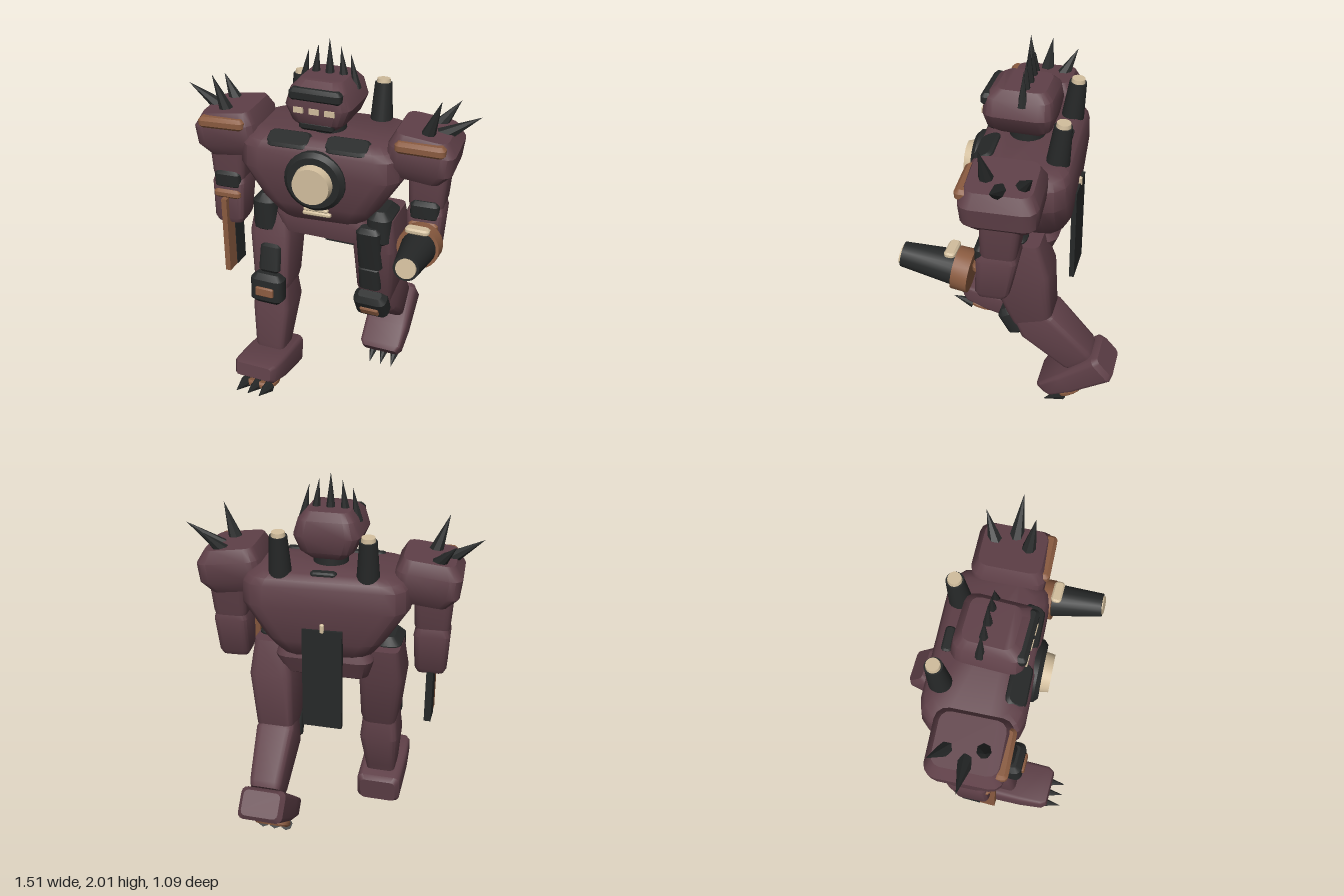
import * as THREE from 'three';
import { toCreasedNormals } from 'three/addons/utils/BufferGeometryUtils.js';

const paint = (name, hex) => {
  const m = new THREE.MeshStandardMaterial({ color: hex });
  m.name = name;
  return m;
};

// Lofted solid with rounded corners; each section is [y, cx, cz, halfX, halfZ]
function loft(sections, round = 0.38) {
  const steps = 3, n = 4 * (steps + 1);
  const rings = sections.map(([y, cx, cz, hx, hz]) => {
    const r = Math.min(hx, hz) * round, ring = [];
    for (let q = 0; q < 4; q++) {
      const sx = q === 0 || q === 3 ? 1 : -1, sz = q < 2 ? 1 : -1;
      for (let i = 0; i <= steps; i++) {
        const t = (q + i / steps) * Math.PI / 2;
        ring.push([cx + sx * (hx - r) + r * Math.cos(t), y, cz + sz * (hz - r) + r * Math.sin(t)]);
      }
    }
    return ring;
  });
  const pos = [];
  const tri = (a, b, c) => pos.push(...a, ...b, ...c);
  for (let s = 0; s < rings.length - 1; s++) {
    const a = rings[s], b = rings[s + 1];
    for (let i = 0; i < n; i++) {
      const j = (i + 1) % n;
      tri(a[i], b[i], b[j]);
      tri(a[i], b[j], a[j]);
    }
  }
  const lo = rings[0], hi = rings[rings.length - 1];
  for (let i = 1; i < n - 1; i++) {
    tri(lo[0], lo[i], lo[i + 1]);
    tri(hi[0], hi[i + 1], hi[i]);
  }
  const g = new THREE.BufferGeometry();
  g.setAttribute('position', new THREE.Float32BufferAttribute(pos, 3));
  return toCreasedNormals(g, 0.62);
}

// Box with all edges softened
function block(w, h, d) {
  const b = Math.min(w, h, d) * 0.28, x = w / 2, y = h / 2, z = d / 2;
  return loft([[-y, 0, 0, x - b, z - b], [-y + b, 0, 0, x, z], [y - b, 0, 0, x, z], [y, 0, 0, x - b, z - b]], 0.7);
}

function add(parent, name, geo, mat, p = [0, 0, 0], rx = 0, rz = 0) {
  const m = new THREE.Mesh(geo, mat);
  m.name = name;
  m.position.set(...p);
  m.rotation.set(rx, 0, rz);
  parent.add(m);
  return m;
}

// Round bar or cone from point a to point b
function rod(parent, name, mat, a, b, r1, r2, sides = 20) {
  const A = new THREE.Vector3(...a), B = new THREE.Vector3(...b), d = B.clone().sub(A);
  const geo = toCreasedNormals(new THREE.CylinderGeometry(r2, r1, d.length(), sides), 0.62);
  const m = add(parent, name, geo, mat);
  m.position.copy(A).lerp(B, 0.5);
  m.quaternion.setFromUnitVectors(new THREE.Vector3(0, 1, 0), d.normalize());
  return m;
}

function subgroup(parent, name, p = [0, 0, 0], rx = 0, ry = 0) {
  const g = new THREE.Group();
  g.name = name;
  g.position.set(...p);
  g.rotation.set(rx, ry, 0);
  parent.add(g);
  return g;
}

export function createModel() {
  const root = new THREE.Group();
  root.name = 'robot';
  const armour = paint('maroon armour', 0x5f4048);
  const dark = paint('black metal', 0x262828);
  const copper = paint('copper', 0x8a5b40);
  const cream = paint('cream', 0xd2be9d);

  // Head with brow, eye plates, mouth and crest
  const head = subgroup(root, 'head');
  add(head, 'skull', loft([[1.59, 0, 0.04, 0.09, 0.12], [1.63, 0, 0.04, 0.135, 0.16], [1.71, 0, 0.04, 0.17, 0.175],
    [1.79, 0, 0.04, 0.145, 0.165], [1.83, 0, 0.03, 0.11, 0.12]]), armour);
  add(head, 'brow', block(0.27, 0.065, 0.06), dark, [0, 1.772, 0.19]);
  add(head, 'mouth', block(0.18, 0.05, 0.05), dark, [0, 1.615, 0.175]);
  for (const x of [-0.08, 0, 0.08]) {
    add(head, 'eyePlate', new THREE.BoxGeometry(0.05, 0.028, 0.009), cream, [x, 1.7, 0.217]);
  }
  rod(head, 'neck', dark, [0, 1.5, 0.02], [0, 1.61, 0.02], 0.095, 0.085);
  for (const [x, y, tx, ty] of [[0, 1.81, 0, 2], [0.075, 1.8, 0.058, 1.965], [0.138, 1.765, 0.108, 1.935]]) {
    for (const s of x ? [-1, 1] : [1]) {
      rod(head, 'crestSpike', dark, [s * x, y, 0.01], [s * tx, ty, 0.01], 0.026, 0, 7);
    }
  }

  // Torso, turned slightly
  const body = subgroup(root, 'upperBody', [0, 0, 0], 0, 0.055);
  add(body, 'chest', loft([[1.08, 0, 0, 0.22, 0.16], [1.14, 0, 0, 0.265, 0.212], [1.2, 0, 0, 0.31, 0.238],
    [1.38, 0, 0.002, 0.425, 0.253], [1.49, 0, 0.002, 0.42, 0.25], [1.525, 0, 0, 0.395, 0.232],
    [1.55, 0, -0.005, 0.35, 0.19]], 0.5), armour);
  rod(body, 'chestRing', dark, [0.004, 1.357, 0.18], [0.004, 1.357, 0.265], 0.157, 0.157, 28);
  rod(body, 'chestRingBevel', dark, [0.004, 1.357, 0.265], [0.004, 1.357, 0.286], 0.157, 0.135, 28);
  rod(body, 'chestLamp', cream, [0.004, 1.357, 0.27], [0.004, 1.357, 0.33], 0.103, 0.094, 28);
  add(body, 'chestTrim', block(0.15, 0.024, 0.03), cream, [0.004, 1.162, 0.226]);
  add(body, 'chestTrim', block(0.13, 0.016, 0.03), cream, [0.004, 1.192, 0.24]);
  add(body, 'backVent', block(0.13, 0.03, 0.05), dark, [0, 1.547, -0.18]);
  for (const s of [-1, 1]) {
    add(body, 'collarPad', block(0.23, 0.045, 0.11), dark, [s * 0.15, 1.526, 0.19], 0.45);
    rod(body, 'exhaust', dark, [s * 0.218, 1.45, -0.16], [s * 0.218, 1.735, -0.192], 0.064, 0.044);
    rod(body, 'exhaustCap', cream, [s * 0.218, 1.72, -0.191], [s * 0.218, 1.755, -0.194], 0.038, 0.033);
  }

  // Arms and shoulders
  for (const s of [-1, 1]) {
    const arm = subgroup(body, s > 0 ? 'leftArm' : 'rightArm');
    const x = s * 0.53, dz = s > 0 ? 0 : -0.02;
    add(arm, 'shoulder', loft([[-0.125, 0, 0, 0.115, 0.145], [-0.06, 0, 0, 0.165, 0.182], [0.04, 0, 0, 0.165, 0.187],
      [0.102, -s * 0.01, 0, 0.128, 0.155]]), armour, [s * 0.5, 1.515, 0.03], 0, -s * 0.12);
    add(arm, 'shoulderStrip', block(0.245, 0.06, 0.07), copper, [s * 0.505, 1.572, 0.195], 0, -s * 0.02);
    const spikes = [[[0.57, 1.58, 0.03], [0.757, 1.7, 0.03]], [[0.51, 1.58, 0.1], [0.58, 1.79, 0.12]],
      [[0.53, 1.58, -0.06], [0.63, 1.71, -0.13]]];
    for (const [a, b] of spikes) {
      rod(arm, 'shoulderSpike', dark, [s * a[0], a[1], a[2]], [s * b[0], b[1], b[2]], 0.042, 0, 7);
    }
    add(arm, 'upperArm', loft([[1.17, x, 0.04, 0.07, 0.07], [1.25, x, 0.04 + dz / 2, 0.09, 0.09],
      [1.42, x, 0.025, 0.1, 0.1]]), armour);
    add(arm, 'forearm', loft([[0.97, x, 0.08 + dz, 0.07, 0.07], [1.0, x, 0.077 + dz, 0.083, 0.085],
      [1.2, x, 0.05 + dz, 0.092, 0.1], [1.24, x, 0.04 + dz, 0.08, 0.08]]), armour);
    add(arm, 'wristCuff', block(0.145, 0.105, 0.07), dark, [x, 1.218, 0.122 + dz]);
    add(arm, 'wristBand', block(0.15, 0.05, 0.06), copper, [x, 1.14, 0.138 + dz]);
  }

  // Right-hand blade
  const blade = subgroup(root, 'blade', [-0.53, 0.9, 0]);
  add(blade, 'bladeBack', new THREE.BoxGeometry(0.036, 0.44, 0.1), dark, [0, 0, 0.065]);
  add(blade, 'bladeEdge', new THREE.BoxGeometry(0.03, 0.44, 0.08), copper, [0, 0, 0.155]);

  // Left-hand cannon
  const cannon = subgroup(root, 'cannon');
  rod(cannon, 'cannonCollar', copper, [0.545, 1.07, 0.155], [0.546, 1.08, 0.235], 0.108, 0.106, 24);
  rod(cannon, 'barrel', dark, [0.547, 1.075, 0.2], [0.565, 1.122, 0.495], 0.092, 0.062);
  rod(cannon, 'muzzle', cream, [0.565, 1.12, 0.485], [0.565, 1.123, 0.502], 0.051, 0.049);
  add(cannon, 'cannonClip', block(0.12, 0.03, 0.055), cream, [0.545, 1.187, 0.248]);

  // Pelvis and rear panel
  add(root, 'pelvis', loft([[0.95, 0, 0, 0.2, 0.1], [0.98, 0, 0, 0.23, 0.15], [1.08, 0, -0.01, 0.258, 0.18],
    [1.14, 0, -0.01, 0.24, 0.16]]), armour);
  add(root, 'rearPanel', new THREE.BoxGeometry(0.205, 0.55, 0.026), dark, [-0.018, 1.005, -0.242]);
  add(root, 'panelClip', block(0.022, 0.05, 0.03), cream, [-0.018, 1.29, -0.246]);

  // Right leg, stepping forward
  const rightLeg = subgroup(root, 'rightLeg');
  add(rightLeg, 'thigh', loft([[0.58, -0.265, 0.12, 0.08, 0.08], [0.68, -0.265, 0.11, 0.1, 0.115],
    [0.95, -0.285, 0.04, 0.115, 0.14], [1.13, -0.29, 0, 0.09, 0.12]]), armour);
  add(rightLeg, 'shin', loft([[0.26, -0.265, 0.185, 0.08, 0.08], [0.3, -0.265, 0.18, 0.085, 0.088],
    [0.52, -0.265, 0.125, 0.105, 0.12], [0.68, -0.265, 0.12, 0.09, 0.09]]), armour);
  add(rightLeg, 'hipBlock', block(0.135, 0.23, 0.24), dark, [-0.312, 1.058, 0.06]);

  // Left leg, trailing
  const leftLeg = subgroup(root, 'leftLeg');
  add(leftLeg, 'thigh', loft([[0.56, 0.265, -0.07, 0.08, 0.09], [0.66, 0.265, -0.07, 0.1, 0.125],
    [0.95, 0.285, -0.02, 0.115, 0.165], [1.13, 0.29, 0, 0.09, 0.13]]), armour);
  add(leftLeg, 'shin', loft([[-0.22, 0, 0, 0.08, 0.088], [-0.19, 0, 0, 0.088, 0.1], [0.1, 0, 0, 0.105, 0.125],
    [0.2, 0, 0, 0.085, 0.09]]), armour, [0.26, 0.497, -0.192], 0.8);
  add(leftLeg, 'hipBlock', block(0.13, 0.2, 0.22), dark, [0.31, 1.075, 0.05]);
  add(leftLeg, 'hipPlate', block(0.13, 0.28, 0.08), dark, [0.268, 0.96, 0.125], 0.2);

  // Knee guard, thigh pad and clawed foot for each leg
  const legs = [
    { leg: rightLeg, x: -0.265, knee: [0.66, 0.24, -0.08], pad: [0.82, 0.19, -0.25], foot: [0.186, 0.265, -0.14] },
    { leg: leftLeg, x: 0.255, knee: [0.557, 0.03, 0.5], pad: [0.75, 0.07, 0.15], foot: [0.215, -0.327, 0.7] },
  ];
  for (const { leg, x, knee, pad, foot } of legs) {
    add(leg, 'thighPad', block(0.12, 0.17, 0.07), dark, [x, pad[0], pad[1]], pad[2]);
    const k = subgroup(leg, 'kneeGuard', [x, knee[0], knee[1]], knee[2]);
    add(k, 'kneeShell', block(0.185, 0.175, 0.1), dark);
    add(k, 'kneePlate', block(0.105, 0.054, 0.024), copper, [0, -0.006, 0.05]);
    const f = subgroup(leg, 'foot', [x, foot[0], foot[1]], foot[2]);
    add(f, 'footShell', loft([[-0.218, 0, 0, 0.1, 0.068], [-0.19, 0, 0, 0.122, 0.086], [0.05, 0, -0.015, 0.126, 0.07],
      [0.18, 0, -0.03, 0.12, 0.054], [0.21, 0, -0.036, 0.1, 0.038]]), armour, [0, 0, 0], Math.PI / 2);
    add(f, 'toePlate', block(0.19, 0.035, 0.17), copper, [0, -0.071, 0.095], -0.06);
    for (const cx of [-0.066, 0, 0.066]) {
      rod(f, 'claw', dark, [cx, -0.074, 0.15], [cx, -0.06, 0.28], 0.034, 0, 7);
    }
  }
  return root;
}
